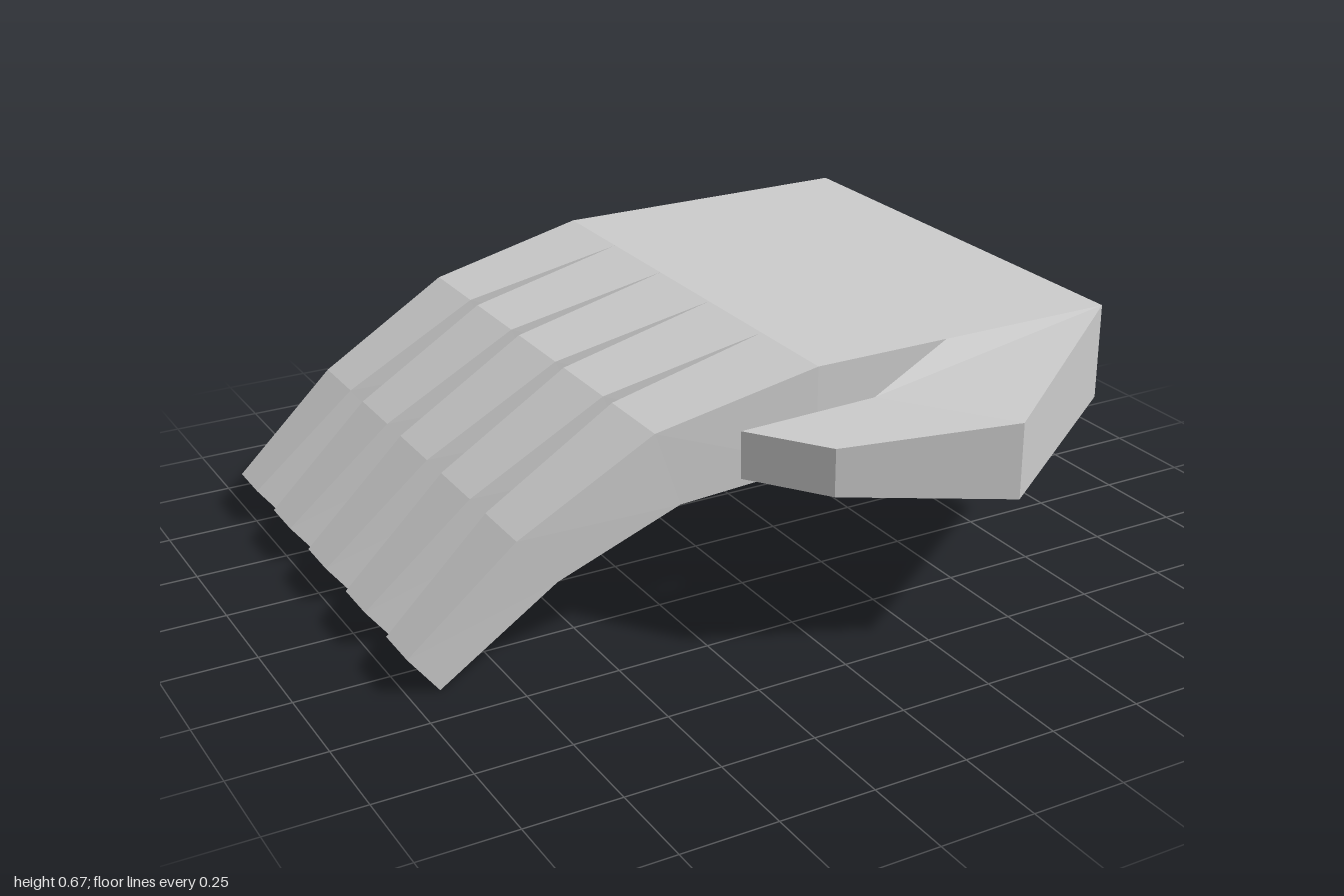
import * as THREE from 'three';

const material = new THREE.MeshStandardMaterial({ color: 0xcccccc, flatShading: true });

// Skins four-cornered sections (counter-clockwise about the travel direction) and caps the last one.
function loft(name, sections) {
  const positions = [];
  const quad = (a, b, c, d) => [a, b, c, a, c, d].forEach((p) => positions.push(...p));
  for (let i = 0; i < sections.length - 1; i++) {
    const s = sections[i], t = sections[i + 1];
    for (let j = 0; j < 4; j++) {
      const k = (j + 1) % 4;
      quad(s[j], s[k], t[k], t[j]);
    }
  }
  quad(...sections[sections.length - 1]);
  const geometry = new THREE.BufferGeometry();
  geometry.setAttribute('position', new THREE.Float32BufferAttribute(positions, 3));
  geometry.computeVertexNormals();
  const mesh = new THREE.Mesh(geometry, material);
  mesh.name = name;
  return mesh;
}

export function createModel() {
  const group = new THREE.Group();
  group.name = 'hand';
  const low = 0.4, high = 0.665, pitch = 0.2725, firstZ = -0.785, knuckleX = 0.1;
  const backZ = firstZ - pitch / 2, frontZ = backZ + 5 * pitch;

  // Palm slab, open towards the fingers, closed at the wrist
  group.add(loft('palm', [knuckleX, 1].map((x) => [
    [x, low, backZ], [x, high, backZ], [x, high, frontZ], [x, low, frontZ],
  ])));

  // Curled, tapering fingers: top x, top y, bottom x, bottom y, half width at each joint
  const joints = [
    [knuckleX, high, knuckleX, low, pitch / 2],
    [-0.35, 0.57, -0.28, 0.365, 0.112],
    [-0.715, 0.36, -0.61, 0.225, 0.09],
    [-1, 0.105, -0.92, 0, 0.066],
  ];
  for (let i = 0; i < 5; i++) {
    const finger = loft(`finger${i + 1}`, joints.map(([tx, ty, bx, by, h]) => [
      [bx, by, -h], [bx, by, h], [tx, ty, h], [tx, ty, -h],
    ]));
    finger.position.z = firstZ + i * pitch;
    group.add(finger);
  }

  // Thumb: inner x, inner z, outer x, outer z, bottom y, top y at each joint
  const thumbJoints = [
    [0.49, frontZ, 1, frontZ, low, high],
    [0.155, 0.61, 0.375, 0.917, 0.432, 0.632],
    [-0.19, 0.555, -0.05, 0.755, 0.47, 0.595],
  ];
  group.add(loft('thumb', thumbJoints.map(([ix, iz, ox, oz, b, t]) => [
    [ix, b, iz], [ox, b, oz], [ox, t, oz], [ix, t, iz],
  ])));

  return group;
}
